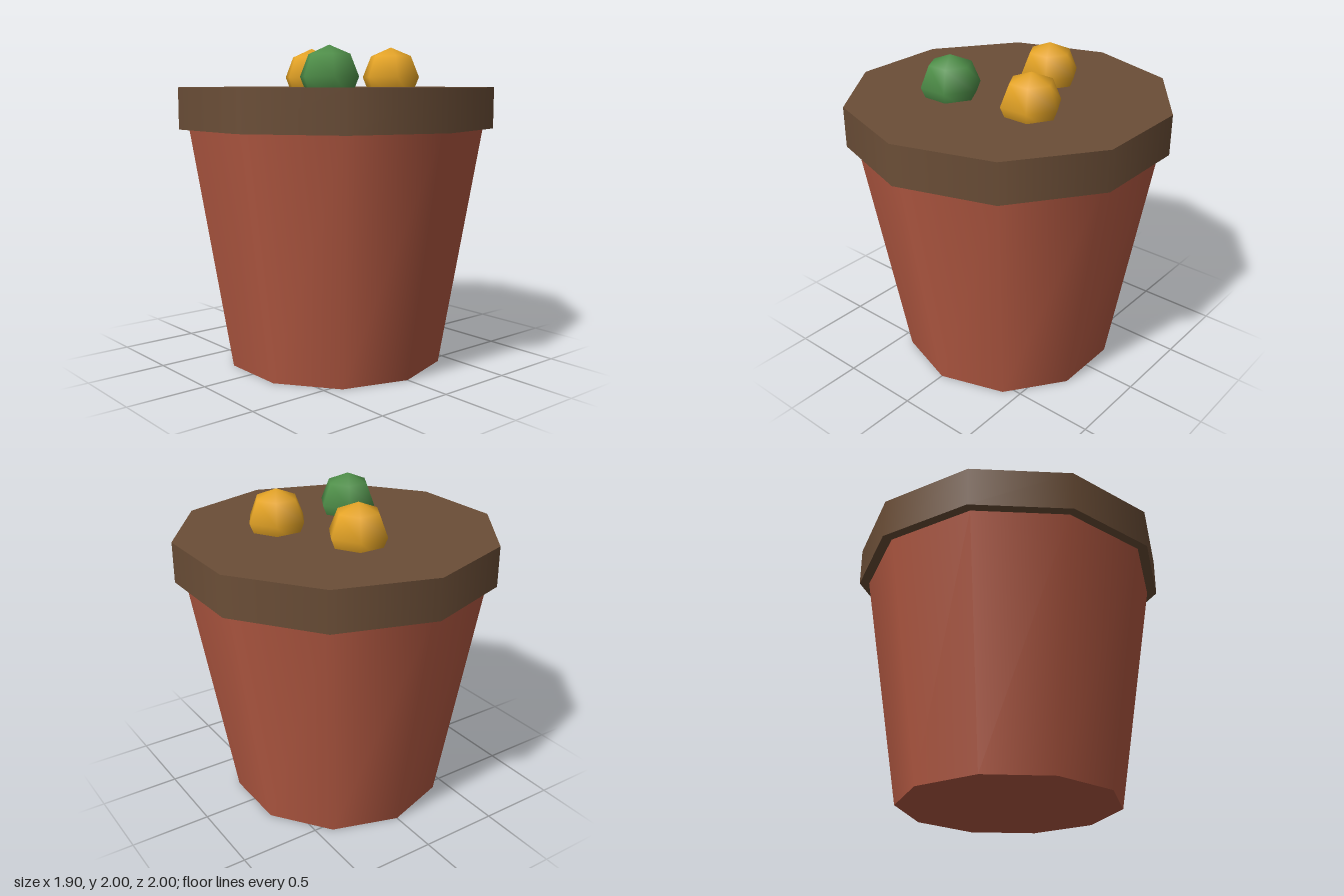
import * as THREE from 'three';

function material(name, color) {
  const m = new THREE.MeshStandardMaterial({ color });
  m.name = name;
  return m;
}

export function createModel() {
  const model = new THREE.Group();
  model.name = 'plantPot';

  const terracotta = material('terracotta', 0xb55a43);
  const brown = material('brown', 0x6b4e37);
  const green = material('green', 0x4f8f49);
  const gold = material('gold', 0xe5a426);

  const add = (name, geometry, mat, x, y, z) => {
    const mesh = new THREE.Mesh(geometry, mat);
    mesh.name = name;
    mesh.position.set(x, y, z);
    model.add(mesh);
  };

  // Tapered ten-sided pot
  add('pot', new THREE.CylinderGeometry(0.9375, 0.6875, 1.5, 10), terracotta, 0, 0.75, 0);

  // Wide rim filled level with soil
  add('rim', new THREE.CylinderGeometry(1, 1, 0.25, 10), brown, 0, 1.625, 0);

  // Faceted buds, half sunk into the soil
  const bud = new THREE.SphereGeometry(0.1875, 6, 4);
  add('greenBud', bud, green, -0.25, 1.8125, 0.25);
  add('frontGoldBud', bud, gold, 0.3125, 1.8125, 0.1875);
  add('backGoldBud', bud, gold, 0.0625, 1.8125, -0.3125);

  return model;
}
